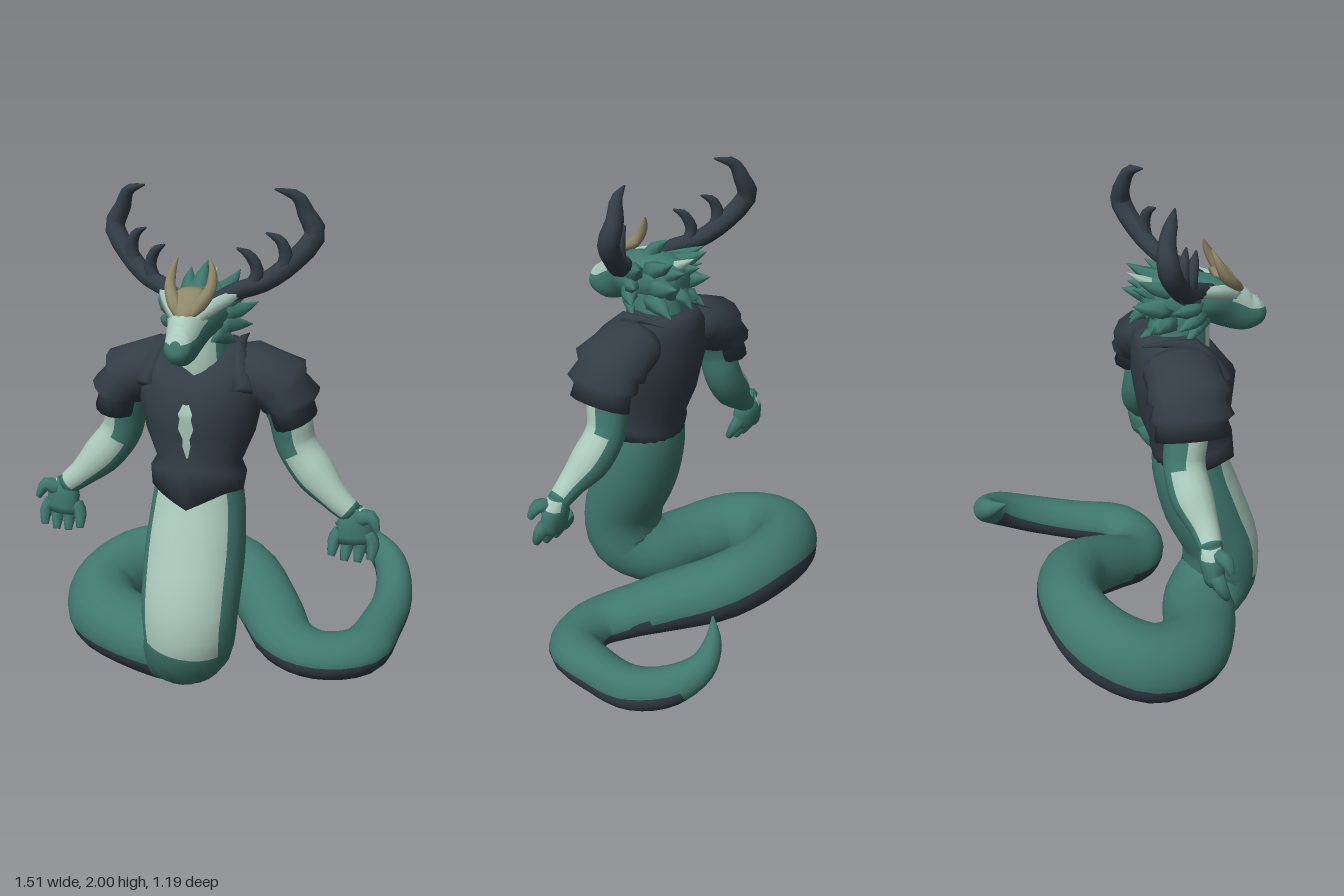
import * as THREE from 'three';

const mat = (name, color) => Object.assign(new THREE.MeshStandardMaterial({ color }), { name });

export function createModel() {
  const green = mat('green scales', 0x40786d);
  const pale = mat('pale scales', 0xabc9bd);
  const dark = mat('dark plate', 0x333d46);
  const gold = mat('tan horn', 0x8e8669);
  const root = new THREE.Group();
  root.name = 'serpentWarrior';
  const figure = new THREE.Group();
  figure.name = 'upperBody';
  figure.position.x = -0.05;
  root.add(figure);

  // Sweeps an ellipse along points [x, y, z, side radius, radius towards ref].
  // ref(u) orients the section; pick(u, angle) chooses the material of a face.
  function sweep(parent, name, pts, mats, o = {}) {
    const { sides = 12, steps = 0, ref = () => [0, 1, 0], pick = () => 0 } = o;
    const path = new THREE.CatmullRomCurve3(pts.map(p => new THREE.Vector3(p[0], p[1], p[2])));
    const radii = new THREE.CatmullRomCurve3(pts.map(p => new THREE.Vector3(p[3], p[4] ?? p[3], 0)));
    const rows = steps || pts.length - 1;
    const pos = [], faces = mats.map(() => []);
    const t = new THREE.Vector3(), n = new THREE.Vector3(), b = new THREE.Vector3();
    for (let i = 0; i <= rows; i++) {
      const u = i / rows, p = path.getPoint(u), r = radii.getPoint(u);
      path.getTangent(u, t);
      n.set(...ref(u)).addScaledVector(t, -t.dot(n)).normalize();
      b.crossVectors(t, n);
      for (let j = 0; j < sides; j++) {
        const a = j / sides * Math.PI * 2;
        const q = p.clone().addScaledVector(n, Math.cos(a) * Math.max(r.y, 0.001))
          .addScaledVector(b, Math.sin(a) * Math.max(r.x, 0.001));
        pos.push(q.x, q.y, q.z);
      }
    }
    for (let i = 0; i < rows; i++) for (let j = 0; j < sides; j++) {
      const k = (j + 1) % sides, A = i * sides, B = A + sides;
      let ang = (j + 0.5) / sides * 360;
      if (ang > 180) ang = 360 - ang;
      faces[pick((i + 0.5) / rows, ang)].push(A + j, A + k, B + j, A + k, B + k, B + j);
    }
    const c = pos.length / 3, L = rows * sides, first = pts[0], last = pts[pts.length - 1];
    pos.push(first[0], first[1], first[2], last[0], last[1], last[2]);
    for (let j = 0; j < sides; j++) {
      const k = (j + 1) % sides;
      faces[0].push(c, k, j, c + 1, L + j, L + k);
    }
    const g = new THREE.BufferGeometry();
    g.setAttribute('position', new THREE.Float32BufferAttribute(pos, 3));
    g.setIndex(faces.flat());
    let start = 0;
    faces.forEach((f, m) => { g.addGroup(start, f.length, m); start += f.length; });
    g.computeVertexNormals();
    const mesh = new THREE.Mesh(g, mats);
    mesh.name = name;
    parent.add(mesh);
    return mesh;
  }
  const flip = (s, pts) => pts.map(p => [p[0] * s, ...p.slice(1)]);
  const spike = (name, s, a, m, tip, r, material = green) =>
    sweep(figure, name, flip(s, [[...a, r], [...m, r * 0.65], [...tip, 0.002]]), [material],
      { sides: 6, steps: 4, ref: () => [0.1, 0.3, 1] });

  // Serpent body: upright column, coil and curled tail tip
  const body = [
    [-0.05, 0.98, 0.27, 0.15, 0.14], [-0.05, 0.8, 0.283, 0.185, 0.162], [-0.05, 0.6, 0.345, 0.2, 0.175],
    [-0.05, 0.4, 0.425, 0.195, 0.165], [-0.06, 0.24, 0.42, 0.18, 0.165], [-0.14, 0.16, 0.32, 0.16, 0.155],
    [-0.32, 0.155, 0.265, 0.155, 0.145], [-0.5, 0.175, 0.17, 0.155, 0.155], [-0.57, 0.2, 0, 0.15, 0.165],
    [-0.48, 0.26, -0.18, 0.14, 0.16], [-0.25, 0.3, -0.27, 0.13, 0.14], [0, 0.27, -0.215, 0.14, 0.14],
    [0.17, 0.19, -0.03, 0.135, 0.125], [0.28, 0.125, 0.11, 0.125, 0.105], [0.42, 0.11, 0.17, 0.115, 0.095],
    [0.58, 0.115, 0.11, 0.11, 0.095], [0.64, 0.135, -0.1, 0.09, 0.095], [0.665, 0.18, -0.3, 0.083, 0.09],
    [0.625, 0.26, -0.47, 0.072, 0.08], [0.53, 0.325, -0.54, 0.055, 0.06], [0.44, 0.38, -0.52, 0.035, 0.04],
    [0.37, 0.435, -0.46, 0.004, 0.004]];
  sweep(root, 'serpentBody', body, [green, pale, dark], {
    sides: 28, steps: 84,
    // The underside turns down at the base and rolls outward round the back of the coil
    ref: u => {
      const k = THREE.MathUtils.smoothstep(u, 0.13, 0.26);
      return [0, -k, 1 - k - 0.5 * Math.max(0, 1 - Math.abs(u - 0.49) / 0.13)];
    },
    pick: (u, a) => u < 0.178 ? (a < 54 ? 1 : 0) : u > 0.255 && u < 0.87 && a < (u < 0.58 ? 71 : 84) ? 2 : 0
  });

  // Cuirass with a pointed hem and a notched neckline
  const cuirass = sweep(figure, 'cuirass', [
    [0, 0.86, 0.295, 0.18, 0.172], [0, 0.93, 0.28, 0.19, 0.172], [0, 0.97, 0.27, 0.168, 0.166],
    [0, 1.08, 0.25, 0.215, 0.19], [0, 1.2, 0.245, 0.24, 0.207], [0, 1.3, 0.205, 0.25, 0.185],
    [0, 1.39, 0.17, 0.2, 0.145], [0, 1.43, 0.165, 0.13, 0.115]], [dark], { sides: 24, ref: () => [0, 0, 1] });
  const cp = cuirass.geometry.attributes.position;
  for (let i = 0; i < cp.count; i++) {
    const y = cp.getY(i), front = cp.getZ(i) > 0.25 ? Math.max(0, 1 - Math.abs(cp.getX(i)) / 0.15) : 0;
    if (y < 0.9) cp.setY(i, y - 0.08 * front);
    if (y > 1.25) cp.setY(i, y - 0.55 * (y - 1.25) * front);
  }
  cuirass.geometry.computeVertexNormals();

  // Jagged pale mark on the chest: [y, half width, z]
  const mark = [[1.02, 0.004, 0.438], [1.07, 0.016, 0.446], [1.1, 0.014, 0.449], [1.14, 0.03, 0.453],
    [1.18, 0.022, 0.457], [1.2, 0.028, 0.458], [1.25, 0.004, 0.44]];
  const mg = new THREE.BufferGeometry();
  mg.setAttribute('position', new THREE.Float32BufferAttribute(mark.flatMap(([y, w, z]) => [-w, y, z, w, y, z]), 3));
  mg.setIndex(mark.slice(1).flatMap((_, i) => [0, 1, 2, 1, 3, 2].map(v => v + i * 2)));
  mg.computeVertexNormals();
  const chestMark = new THREE.Mesh(mg, pale);
  chestMark.name = 'chestMark';
  figure.add(chestMark);

  // Neck and head
  sweep(figure, 'neck', [[0, 1.26, 0.2, 0.13, 0.13], [0, 1.38, 0.215, 0.115, 0.13], [0, 1.54, 0.23, 0.1, 0.1]],
    [green, pale], { sides: 16, steps: 6, ref: () => [0, 0, 1], pick: (u, a) => a < 46 ? 1 : 0 });
  sweep(figure, 'head', [
    [0, 1.56, 0.07, 0.05, 0.06], [0, 1.56, 0.15, 0.105, 0.095], [0, 1.55, 0.25, 0.12, 0.1],
    [0, 1.54, 0.34, 0.105, 0.092], [0, 1.505, 0.42, 0.075, 0.093], [0, 1.473, 0.49, 0.062, 0.08],
    [0, 1.475, 0.545, 0.05, 0.058], [0, 1.482, 0.568, 0.022, 0.025]], [green, pale],
  { sides: 16, steps: 21, pick: (u, a) => u > 0.5 && a < 68 ? 1 : 0 });

  // Centre crests at the back of the skull
  spike('backCrest', 1, [0, 1.6, 0.14], [0, 1.635, 0.07], [0, 1.67, 0.01], 0.028, pale);
  spike('topCrest', 1, [0, 1.6, 0.26], [0, 1.67, 0.21], [0, 1.72, 0.14], 0.045);
  spike('napeTuft', 1, [0, 1.52, 0.14], [0, 1.51, 0.07], [0, 1.46, 0.02], 0.055);

  // Tan forehead plate between the brow horns
  sweep(figure, 'foreheadPlate', [[0, 1.55, 0.482, 0.012, 0.01], [0, 1.59, 0.445, 0.045, 0.018],
    [0, 1.63, 0.39, 0.062, 0.02], [0, 1.65, 0.345, 0.045, 0.012]], [gold], { sides: 10, steps: 9 });

  for (const s of [1, -1]) {
    const side = s > 0 ? 'left' : 'right';
    // Brow stripe, tan brow horn and fur spikes
    sweep(figure, side + 'BrowStripe', flip(s, [[0.03, 1.555, 0.44, 0.025], [0.075, 1.588, 0.375, 0.03],
      [0.125, 1.612, 0.29, 0.024], [0.18, 1.64, 0.2, 0.003]]), [pale], { sides: 6, steps: 8 });
    sweep(figure, side + 'BrowHorn', flip(s, [[0.025, 1.575, 0.455, 0.014], [0.052, 1.615, 0.415, 0.027],
      [0.077, 1.66, 0.375, 0.022], [0.077, 1.715, 0.345, 0.016], [0.062, 1.76, 0.325, 0.003]]), [gold],
    { sides: 8, steps: 10, ref: () => [0, 0, 1] });
    const frill = [
      [[0.08, 1.58, 0.25], [0.14, 1.61, 0.19], [0.19, 1.65, 0.12], 0.045],
      [[0.08, 1.55, 0.26], [0.145, 1.55, 0.21], [0.2, 1.57, 0.14], 0.045],
      [[0.08, 1.51, 0.27], [0.135, 1.5, 0.23], [0.185, 1.49, 0.17], 0.045],
      [[0.06, 1.48, 0.29], [0.1, 1.455, 0.26], [0.14, 1.42, 0.21], 0.045],
      [[0.06, 1.6, 0.18], [0.085, 1.63, 0.1], [0.1, 1.67, 0.03], 0.042],
      [[0.06, 1.54, 0.15], [0.085, 1.55, 0.08], [0.1, 1.57, 0.01], 0.05],
      [[0.06, 1.48, 0.17], [0.09, 1.47, 0.1], [0.1, 1.44, 0.04], 0.05],
      [[0.04, 1.58, 0.13], [0.04, 1.6, 0.08], [0.045, 1.62, 0.02], 0.04]];
    frill.forEach(([a, m, tip, r]) => spike(side + 'FurSpike', s, a, m, tip, r));

    // Antler with two tines
    const antler = [
      [[0.07, 1.6, 0.32, 0.028], [0.14, 1.63, 0.25, 0.034], [0.23, 1.655, 0.185, 0.036], [0.32, 1.72, 0.125, 0.04],
        [0.4, 1.825, 0.07, 0.042], [0.365, 1.9, 0.07, 0.034], [0.335, 1.965, 0.09, 0.024], [0.255, 1.995, 0.125, 0.004]],
      [[0.19, 1.64, 0.21, 0.028], [0.21, 1.7, 0.205, 0.025], [0.185, 1.76, 0.22, 0.02], [0.14, 1.79, 0.24, 0.004]],
      [[0.29, 1.69, 0.15, 0.03], [0.305, 1.75, 0.145, 0.027], [0.285, 1.81, 0.155, 0.02], [0.235, 1.84, 0.175, 0.004]]];
    antler.forEach((p, i) => sweep(figure, side + (i ? 'Tine' : 'Antler'), flip(s, p), [dark],
      { sides: 8, steps: i ? 8 : 18, ref: () => [0, 0.2, 1] }));

    // Layered shoulder guard
    sweep(figure, side + 'ShoulderGuard', flip(s, [
      [0.12, 1.33, 0.19, 0.11, 0.08], [0.18, 1.325, 0.185, 0.155, 0.1], [0.24, 1.295, 0.185, 0.15, 0.11],
      [0.3, 1.265, 0.185, 0.168, 0.13], [0.31, 1.245, 0.185, 0.145, 0.105], [0.345, 1.205, 0.185, 0.165, 0.115],
      [0.345, 1.185, 0.185, 0.14, 0.085], [0.365, 1.125, 0.185, 0.15, 0.082]]), [dark],
    { sides: 14, ref: () => [s, 0.8, 0] });
    spike(side + 'CollarFlange', s, [0.19, 1.27, 0.35], [0.15, 1.41, 0.24], [0.14, 1.42, 0.04], 0.045, dark);

    // Arm: green upper arm and elbow, pale outer forearm
    sweep(figure, side + 'Arm', flip(s, [[0.27, 1.3, 0.18, 0.1], [0.335, 1.14, 0.17, 0.085], [0.36, 1.02, 0.155, 0.082],
      [0.43, 0.92, 0.165, 0.084], [0.525, 0.825, 0.195, 0.058], [0.6, 0.765, 0.205, 0.045]]), [green, pale],
    {
      sides: 16, steps: 20, ref: () => [s * 0.7, 0.5, 0.6],
      pick: (u, a) => a < (u < 0.36 ? 55 : u < 0.45 ? 38 : 95) && u < 0.95 ? 1 : 0
    });

    // Palm, fingers and thumb
    sweep(figure, side + 'Palm', flip(s, [[0.6, 0.79, 0.2, 0.04, 0.04], [0.61, 0.73, 0.205, 0.05, 0.072],
      [0.615, 0.65, 0.215, 0.04, 0.072]]), [green, pale],
    { sides: 12, steps: 6, ref: () => [s, 0, -0.2], pick: (u, a) => u < 0.4 && a < 50 ? 1 : 0 });
    for (let i = 0; i < 4; i++) {
      const k = i - 1.5, low = Math.abs(k) * 0.015;
      sweep(figure, side + 'Finger', flip(s, [[0.61 + k * 0.036, 0.69, 0.21, 0.03], [0.61 + k * 0.05, 0.635 + low, 0.22, 0.028],
        [0.605 + k * 0.052, 0.575 + low, 0.25, 0.015]]), [green], { sides: 7, steps: 5, ref: () => [0, 0, 1] });
    }
    sweep(figure, side + 'Thumb', flip(s, [[0.62, 0.75, 0.215, 0.035], [0.675, 0.77, 0.235, 0.03],
      [0.705, 0.72, 0.255, 0.012]]), [green], { sides: 7, steps: 6, ref: () => [0, 0, 1] });
  }
  return root;
}
